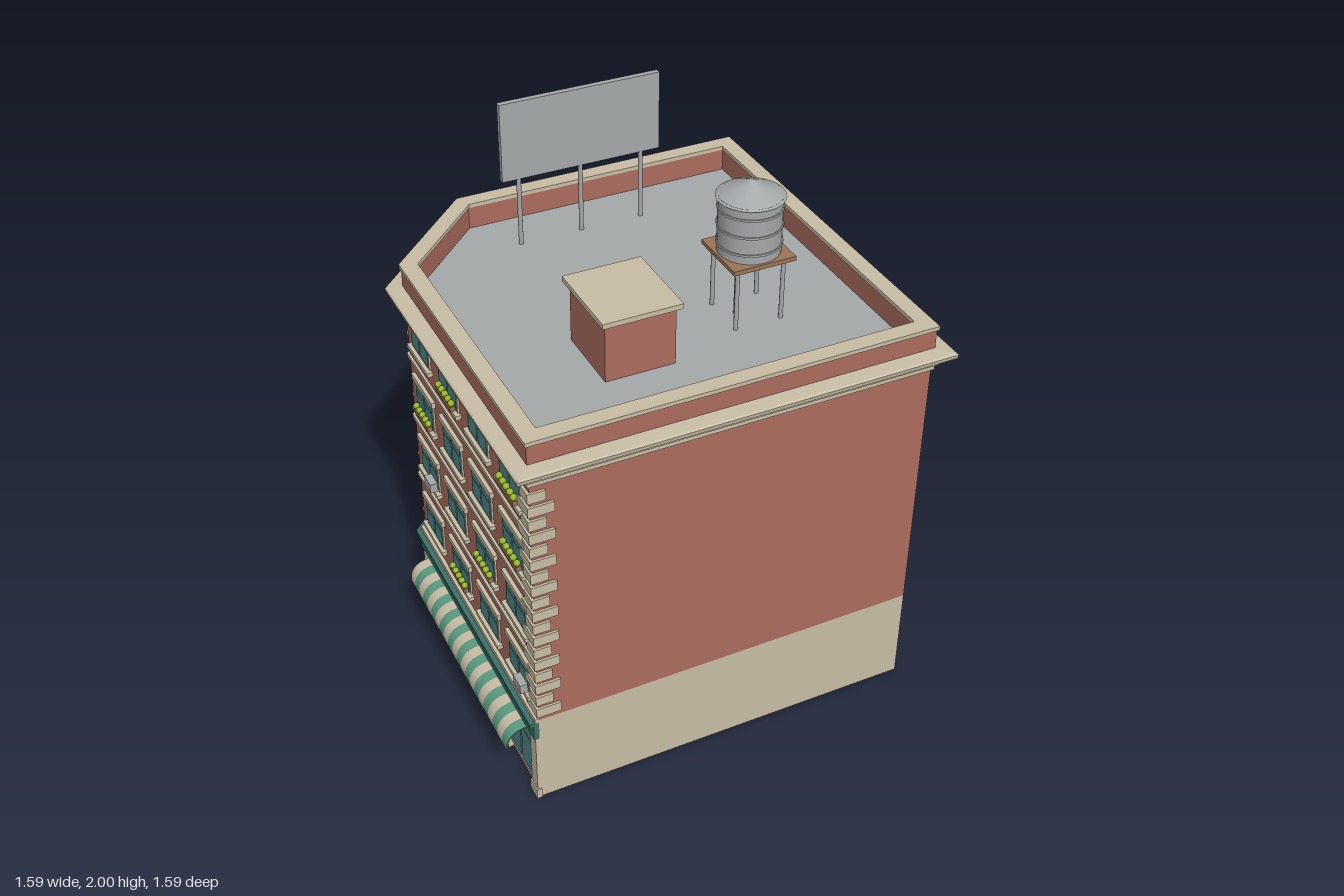
import * as THREE from 'three';

const MIN = -0.7, MAX = 0.73, CUT = -0.367;
const mat = (name, color, opts = {}) => {
  const m = new THREE.MeshStandardMaterial({ color, ...opts });
  m.name = name;
  return m;
};

// Footprint with one cut corner, pushed outward by o
const footprint = (o) => {
  const a = MIN - o, b = MAX + o, c = CUT - 0.414 * o;
  return [[a, b], [b, b], [b, a], [c, a], [a, c]];
};

// Walls that follow the footprint through a profile of [offset, y]
function sweep(profile) {
  const pos = [];
  for (let k = 0; k < profile.length - 1; k++) {
    const [o0, y0] = profile[k], [o1, y1] = profile[k + 1];
    const lo = footprint(o0), hi = footprint(o1);
    for (let i = 0; i < 5; i++) {
      const j = (i + 1) % 5;
      const a = [lo[i][0], y0, lo[i][1]], b = [lo[j][0], y0, lo[j][1]];
      const c = [hi[j][0], y1, hi[j][1]], d = [hi[i][0], y1, hi[i][1]];
      pos.push(...a, ...b, ...c, ...a, ...c, ...d);
    }
  }
  const g = new THREE.BufferGeometry();
  g.setAttribute('position', new THREE.Float32BufferAttribute(pos, 3));
  g.computeVertexNormals();
  return g;
}

// Flat slab of the footprint, facing up or down
function slab(o, y, up) {
  const s = up ? -1 : 1;
  const shape = new THREE.Shape(footprint(o).map(([x, z]) => new THREE.Vector2(x, s * z)));
  return new THREE.ShapeGeometry(shape).rotateX(s * Math.PI / 2).translate(0, y, 0);
}

// Moulding along the three street sides only
function streetBand(o, y0, y1) {
  const a = MIN - o, c = CUT - 0.414 * o;
  const pts = [[MIN, MAX], [a, MAX], [a, c], [c, a], [MAX, a], [MAX, MIN]];
  const shape = new THREE.Shape(pts.map(([x, z]) => new THREE.Vector2(x, -z)));
  return new THREE.ExtrudeGeometry(shape, { depth: y1 - y0, bevelEnabled: false })
    .rotateX(-Math.PI / 2).translate(0, y0, 0);
}

export function createModel() {
  const brick = mat('brick', 0xac6c5f), stone = mat('stone', 0xc8bda6);
  const grey = mat('grey metal', 0xa6a9a9), glass = mat('glass', 0x4f8a8c);
  const teal = mat('dark teal', 0x3c7068), green = mat('awning green', 0x5a9a80);
  const red = mat('awning red', 0xd9605a), wood = mat('wood', 0x9c7456);
  const leaf = mat('leaf', 0x9ab82c), mustard = mat('mustard', 0xb09a4c);

  const model = new THREE.Group();
  model.name = 'cornerBuilding';
  const add = (parent, name, geo, m, x = 0, y = 0, z = 0) => {
    const mesh = new THREE.Mesh(geo, m);
    mesh.name = name;
    mesh.position.set(x, y, z);
    parent.add(mesh);
    return mesh;
  };
  // Box centred in x, from y0 to y1 and z0 to z1
  const box = (parent, name, m, x, w, y0, y1, z0, z1) =>
    add(parent, name, new THREE.BoxGeometry(w, y1 - y0, z1 - z0), m, x, (y0 + y1) / 2, (z0 + z1) / 2);
  const tube = (parent, name, m, rTop, rBottom, y0, y1, x, z, n = 24) =>
    add(parent, name, new THREE.CylinderGeometry(rTop, rBottom, y1 - y0, n), m, x, (y0 + y1) / 2, z);
  const group = (parent, name) => {
    const g = new THREE.Group();
    g.name = name;
    parent.add(g);
    return g;
  };

  // Main walls, cornice, parapet and roof
  add(model, 'baseWall', sweep([[0, 0], [0, 0.37]]), stone);
  add(model, 'underside', slab(0, 0, false), stone);
  add(model, 'brickWall', sweep([[0, 0.37], [0, 1.38]]), brick);
  add(model, 'cornice', sweep([[0, 1.37], [0.008, 1.37], [0.008, 1.385], [0.016, 1.39], [0.016, 1.405],
    [0.03, 1.41], [0.045, 1.425], [0.058, 1.43], [0.061, 1.445], [0.055, 1.45], [0, 1.455]]), stone);
  add(model, 'parapetOuter', sweep([[0.004, 1.45], [0.004, 1.526]]), brick);
  add(model, 'parapetCap', sweep([[0, 1.525], [0.01, 1.525], [0.01, 1.54], [-0.05, 1.54], [-0.05, 1.525], [-0.045, 1.525]]), stone);
  add(model, 'parapetInner', sweep([[-0.046, 1.526], [-0.046, 1.44]]), brick);
  add(model, 'roof', slab(-0.03, 1.44, true), grey);

  // Shop fascia and thin floor courses on the street sides
  add(model, 'fascia', streetBand(0.02, 0.285, 0.345), teal);
  add(model, 'fasciaTop', streetBand(0.033, 0.345, 0.36), teal);
  add(model, 'fasciaLedge', streetBand(0.014, 0.36, 0.378), stone);
  for (let i = 1; i < 4; i++) {
    add(model, 'floorCourse', streetBand(0.009, 0.36 + 0.267 * i, 0.374 + 0.267 * i), stone);
  }

  // Alternating corner stones, mirrored across the diagonal
  for (let i = 0; i < 18; i++) {
    const len = i % 2 ? 0.062 : 0.09, y = 0.392 + i * 0.0538;
    const near = -0.71 + len / 2, far = 0.739 - len / 2;
    for (const [x, z] of [[near, far], [far, near]]) {
      add(model, 'cornerStone', new THREE.BoxGeometry(len, 0.038, len), stone, x, y + 0.019, z);
    }
  }

  const leafGeo = new THREE.IcosahedronGeometry(0.012, 1);
  // Upper window with frame, panes, sill and lintel, and an optional extra
  function upperWindow(face, x, y, w, extra) {
    const g = group(face, 'window');
    const h = 0.118, pw = w / 2 - 0.012;
    box(g, 'windowFrame', stone, x, w, y, y + h, 0, 0.006);
    for (const s of [-1, 1]) {
      box(g, 'lowerPane', glass, x + s * (pw / 2 + 0.004), pw, y + 0.008, y + 0.076, 0.004, 0.008);
      box(g, 'upperPane', glass, x + s * (pw / 2 + 0.004), pw, y + 0.081, y + h - 0.008, 0.004, 0.008);
    }
    box(g, 'sill', stone, x, w + 0.03, y - 0.016, y, 0, 0.02);
    box(g, 'lintel', stone, x, w + 0.03, y + h, y + h + 0.022, 0, 0.014);
    if (extra === 'f') {
      box(g, 'planter', wood, x, w * 0.8, y, y + 0.018, 0.008, 0.026);
      for (let i = -2; i <= 2; i++) add(g, 'plant', leafGeo, leaf, x + i * w * 0.17, y + 0.027, 0.018);
    } else if (extra === 'a') {
      box(g, 'airConditioner', grey, x + w / 4, w * 0.36, y, y + 0.036, 0, 0.035);
    }
  }

  // Striped awning made of thin curved strips
  function awning(face, colour) {
    const g = group(face, 'awning'), n = 22, w = 0.958 / n;
    const shape = new THREE.Shape();
    shape.moveTo(0.015, 0.282);
    shape.quadraticCurveTo(0.083, 0.282, 0.094, 0.222);
    shape.lineTo(0.094, 0.198);
    shape.lineTo(0.09, 0.198);
    shape.lineTo(0.09, 0.222);
    shape.quadraticCurveTo(0.08, 0.277, 0.015, 0.277);
    const geo = new THREE.ExtrudeGeometry(shape, { depth: w, bevelEnabled: false, curveSegments: 8 }).rotateY(-Math.PI / 2);
    for (let i = 0; i < n; i++) add(g, 'awningStripe', geo, i % 2 ? colour : stone, -0.479 + (i + 1) * w);
  }

  // Ground floor bays between pilasters
  function shopFront(face) {
    const g = group(face, 'shopFront');
    for (let i = 0; i < 5; i++) {
      const x = (i - 2) * 0.262;
      box(g, 'pilaster', stone, x, 0.05, 0, 0.285, 0, 0.015);
      box(g, 'pilasterFoot', stone, x, 0.06, 0, 0.04, 0, 0.02);
    }
    for (let i = 0; i < 4; i++) {
      const x = (i - 1.5) * 0.262;
      box(g, 'shopFrame', stone, x, 0.2, 0.03, 0.27, 0, 0.006);
      for (const s of [-1, 1]) {
        box(g, 'shopPane', glass, x + s * 0.047, 0.083, 0.05, 0.205, 0.004, 0.008);
        box(g, 'shopTransom', glass, x + s * 0.047, 0.083, 0.214, 0.262, 0.004, 0.008);
      }
    }
  }

  // Street sides; each string is a floor from the bottom up, f = flowers, a = air conditioner
  const mid = (MAX + CUT) / 2, diag = (MIN + CUT) / 2;
  const faces = [
    { name: 'backFace', x: mid, z: MIN, turn: Math.PI, cols: [-0.405, -0.135, 0.135, 0.405], w: 0.175, colour: red, extras: ['...a', '..f.', 'fa..', 'af..'] },
    { name: 'sideFace', x: MIN, z: mid, turn: -Math.PI / 2, cols: [-0.405, -0.135, 0.135, 0.405], w: 0.175, colour: green, extras: ['.f.a', 'a.f.', 'f..f', '.f.f'] },
    { name: 'cornerFace', x: diag, z: diag, turn: -Math.PI * 0.75, cols: [-0.115, 0.115], w: 0.15, extras: ['.f', '..', 'ff', '.f'] },
  ];
  for (const f of faces) {
    const face = group(model, f.name);
    face.position.set(f.x, 0, f.z);
    face.rotation.y = f.turn;
    f.extras.forEach((row, i) => f.cols.forEach((x, j) => upperWindow(face, x, 0.445 + 0.267 * i, f.w, row[j])));
    if (f.colour) {
      shopFront(face);
      awning(face, f.colour);
      continue;
    }
    // Corner entrance with columns, door and sign plate
    for (const s of [-1, 1]) {
      box(face, 'columnFoot', stone, s * 0.155, 0.14, 0, 0.035, 0, 0.022);
      for (const x of [0.105, 0.14, 0.175, 0.21]) tube(face, 'column', stone, 0.014, 0.014, 0.035, 0.285, s * x, 0.004, 12);
      box(face, 'doorLeaf', wood, s * 0.037, 0.072, 0.012, 0.215, 0, 0.007);
      box(face, 'doorPane', glass, s * 0.037, 0.046, 0.075, 0.2, 0.005, 0.01);
    }
    box(face, 'doorStep', stone, 0, 0.17, 0, 0.012, 0, 0.022);
    box(face, 'doorHead', stone, 0, 0.17, 0.215, 0.235, 0, 0.014);
    box(face, 'signPlate', mustard, 0, 0.14, 0.245, 0.28, 0, 0.026);
  }

  // Stair housing on the roof
  box(model, 'stairHouse', brick, -0.182, 0.25, 1.44, 1.657, 0.16, 0.43);
  box(model, 'stairHouseCap', stone, -0.182, 0.282, 1.656, 1.675, 0.135, 0.45);

  // Water tank on legs
  const tank = group(model, 'waterTank');
  tank.position.set(0.295, 0, 0.255);
  for (const x of [-0.085, 0.085]) for (const z of [-0.085, 0.085]) tube(tank, 'tankLeg', grey, 0.008, 0.008, 1.44, 1.672, x, z, 8);
  tube(tank, 'tankPipe', grey, 0.008, 0.008, 1.44, 1.672, -0.04, 0, 8);
  box(tank, 'platform', wood, 0, 0.23, 1.67, 1.686, -0.115, 0.115);
  tube(tank, 'tankBody', grey, 0.108, 0.108, 1.686, 1.89, 0, 0);
  for (const y of [1.715, 1.78, 1.845]) tube(tank, 'tankHoop', grey, 0.112, 0.112, y, y + 0.008, 0, 0);
  tube(tank, 'tankRoof', grey, 0.006, 0.117, 1.885, 1.94, 0, 0);

  // Billboard facing the street
  const board = group(model, 'billboard');
  box(board, 'panel', grey, 0.018, 0.603, 1.705, 2, -0.488, -0.466);
  box(board, 'poster', mustard, 0.018, 0.575, 1.72, 1.985, -0.495, -0.487);
  for (const x of [-0.22, 0.015, 0.25]) tube(board, 'post', grey, 0.009, 0.009, 1.44, 1.71, x, -0.475, 8);

  return model;
}
